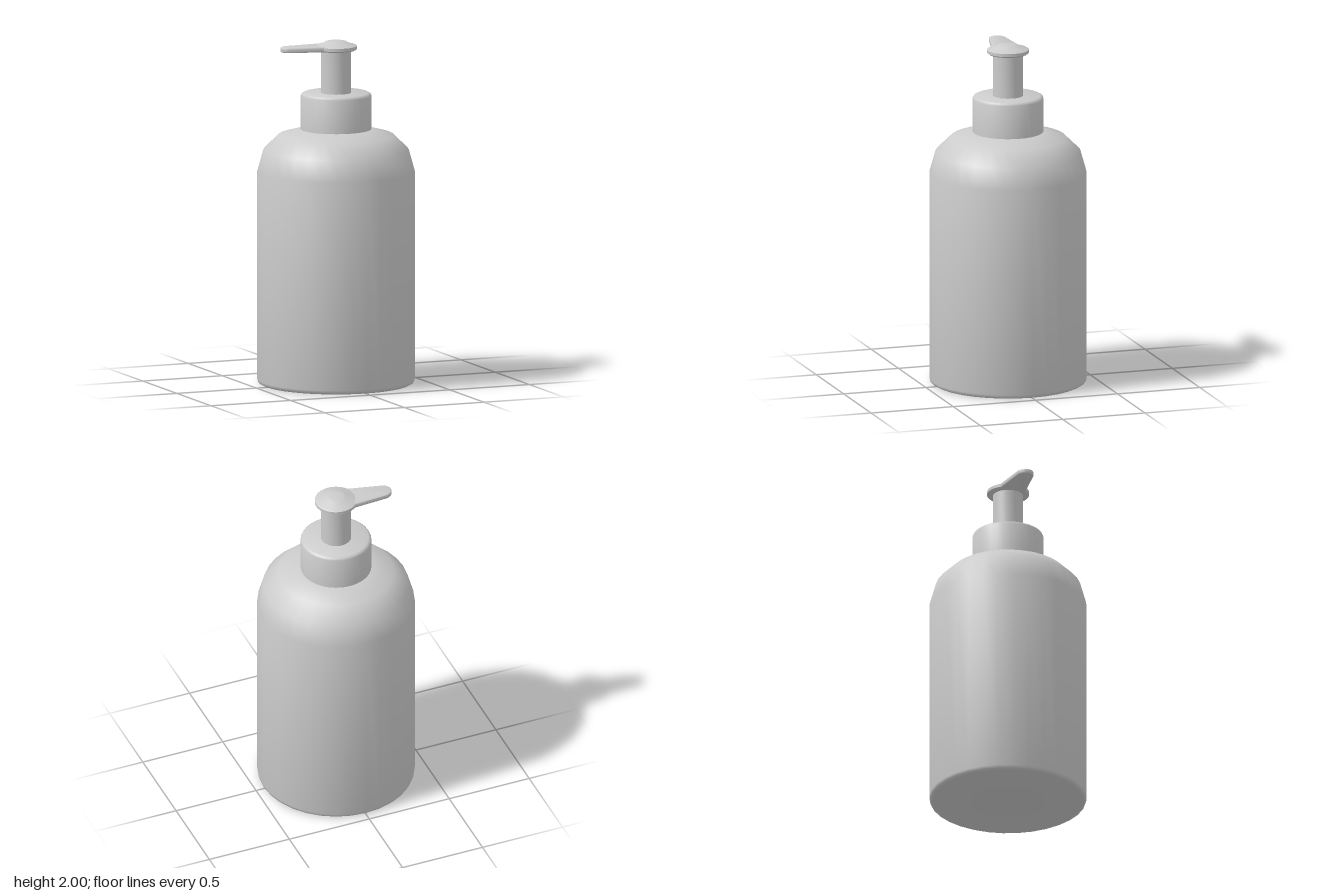
import * as THREE from 'three';
import { toCreasedNormals } from 'three/addons/utils/BufferGeometryUtils.js';

const material = new THREE.MeshStandardMaterial({ color: 0xcccccc });

function addMesh(group, name, geometry) {
  const mesh = new THREE.Mesh(toCreasedNormals(geometry, 0.85), material);
  mesh.name = name;
  group.add(mesh);
  return mesh;
}

// Turned part from [radius, height] pairs, bottom to top
function turned(profile) {
  const points = profile.map(([r, y]) => new THREE.Vector2(r, y));
  return new THREE.LatheGeometry(points, 32, Math.PI / 2);
}

export function createModel() {
  const group = new THREE.Group();
  group.name = 'pumpBottle';

  // Bottle with faceted shoulder
  addMesh(group, 'bottle', turned([
    [0, 0], [0.435, 0], [0.45, 0.008], [0.455, 0.025], [0.455, 1.24],
    [0.42, 1.365], [0.333, 1.45], [0.2, 1.486], [0, 1.486],
  ]));

  // Screw collar
  addMesh(group, 'collar', turned([
    [0, 1.47], [0.205, 1.47], [0.205, 1.68], [0.2, 1.691], [0.188, 1.697], [0, 1.697],
  ]));

  // Pump stem
  addMesh(group, 'stem', turned([[0.087, 1.69], [0.087, 1.955]]));

  // Domed push button
  addMesh(group, 'button', turned([
    [0, 1.945], [0.112, 1.945], [0.122, 1.952], [0.122, 1.97],
    [0.112, 1.976], [0.085, 1.981], [0.06, 1.996], [0.04, 2], [0, 2],
  ]));

  // Tapered spout with a rounded tip, swung slightly to the back
  const bevel = 0.007;
  const outline = new THREE.Shape();
  outline.moveTo(-0.03, -0.086);
  outline.lineTo(-0.09, -0.081);
  outline.lineTo(-0.288, -0.071);
  outline.bezierCurveTo(-0.335, -0.06, -0.335, -0.005, -0.298, 0.01);
  outline.lineTo(-0.1, 0.058);
  outline.lineTo(-0.03, 0.07);
  outline.closePath();
  const spout = new THREE.ExtrudeGeometry(outline, {
    depth: 0.016, bevelEnabled: true, bevelSize: bevel, bevelThickness: bevel,
    bevelSegments: 2, curveSegments: 8,
  });
  spout.rotateX(Math.PI / 2);
  spout.translate(0, 1.969, 0);
  addMesh(group, 'spout', spout);

  return group;
}
